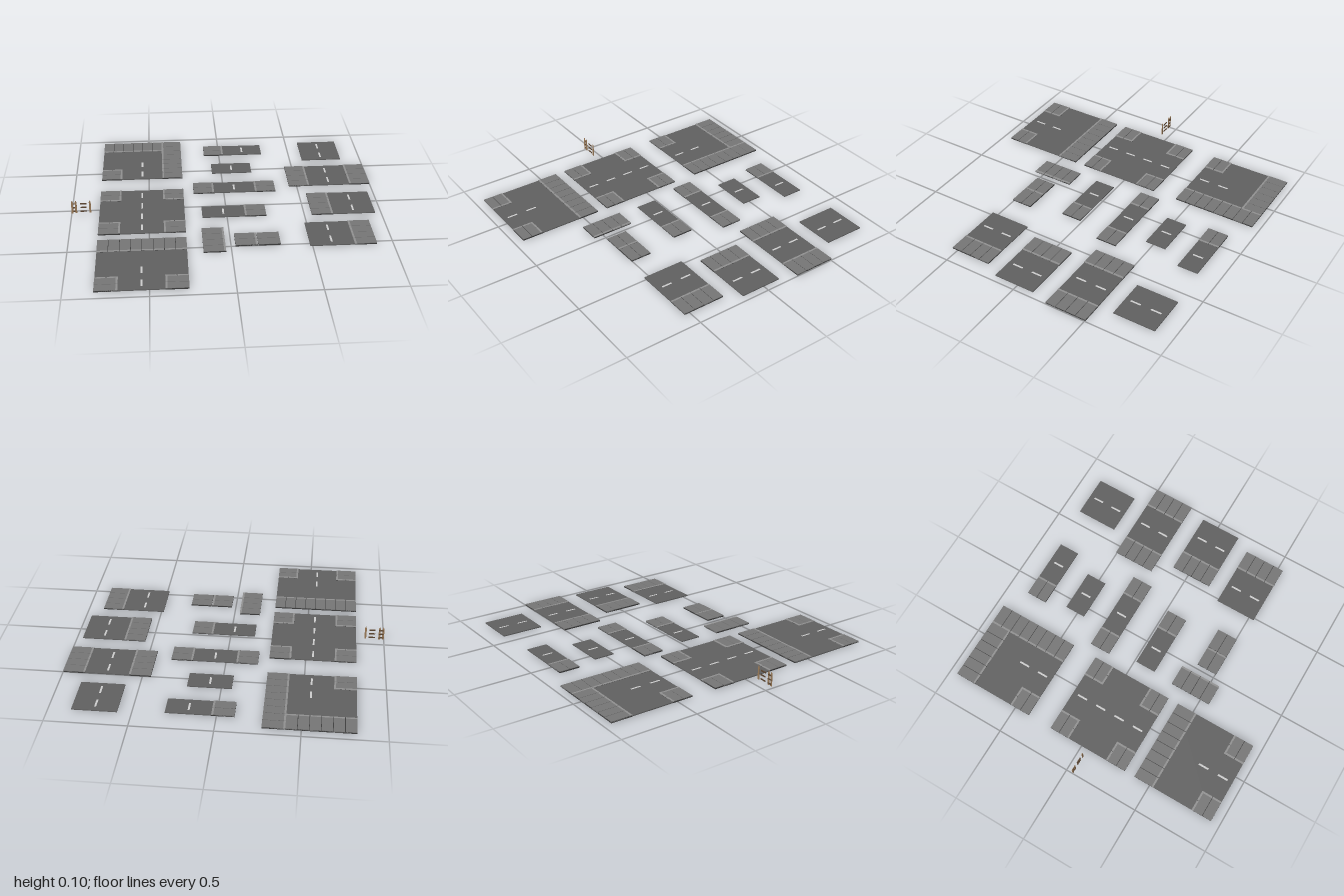
import * as THREE from 'three';

const U = 0.0688;    // one paving slab, the module of every tile
const JOINT = 0.0035; // gap between slabs
const CURB = 0.012;  // curb stone width

const mat = (color) => new THREE.MeshStandardMaterial({ color });
const mats = {
  road: mat(0x606060), joint: mat(0x3c3c3c), slab: mat(0x757575),
  curb: mat(0x909090), dash: mat(0xc4c4c4), picket: mat(0x9a7a58), rail: mat(0x5a4430),
};

// Box spanning x0..x1, y0..y1, z0..z1
function block(parent, name, material, x0, x1, y0, y1, z0, z1) {
  const mesh = new THREE.Mesh(new THREE.BoxGeometry(x1 - x0, y1 - y0, z1 - z0), mats[material]);
  mesh.position.set((x0 + x1) / 2, (y0 + y1) / 2, (z0 + z1) / 2);
  mesh.name = name;
  parent.add(mesh);
}

function group(parent, name, x = 0, z = 0) {
  const g = new THREE.Group();
  g.name = name;
  g.position.set(x, 0.001, z);
  parent.add(g);
  return g;
}

// Cuts lo..hi into unit lengths with joints between them
function eachUnit(lo, hi, count, place) {
  const start = (lo + hi - count * U) / 2;
  for (let i = 0; i < count; i++) {
    place(
      i === 0 ? lo : start + i * U + JOINT / 2,
      i === count - 1 ? hi : start + (i + 1) * U - JOINT / 2,
    );
  }
}

// Paved strip at (u, v), w by d slabs; curbs line the edges named left, right, back, front
function sidewalk(tile, u, v, w, d, curbs = [], acrossX = false) {
  const walk = group(tile, 'sidewalk');
  walk.position.y = 0;
  const x0 = u * U, x1 = (u + w) * U, z0 = v * U, z1 = (v + d) * U;
  const inset = (side) => (curbs.includes(side) ? CURB : 0);
  const sx0 = x0 + inset('left'), sx1 = x1 - inset('right');
  const sz0 = z0 + inset('back'), sz1 = z1 - inset('front');

  block(walk, 'sidewalkBed', 'joint', x0, x1, 0.001, 0.0088, z0, z1);
  const slab = (a, b, c, e) => block(walk, 'pavingSlab', 'slab', a, b, 0.004, 0.0112, c, e);
  if (acrossX) eachUnit(sx0, sx1, w, (a, b) => slab(a, b, sz0, sz1));
  else eachUnit(sz0, sz1, d, (a, b) => slab(sx0, sx1, a, b));

  const stone = (a, b, c, e) => block(walk, 'curbStone', 'curb', a, b, 0.004, 0.012, c, e);
  for (const side of curbs) {
    if (side === 'left') eachUnit(sz0, sz1, d, (a, b) => stone(x0, sx0, a, b));
    if (side === 'right') eachUnit(sz0, sz1, d, (a, b) => stone(sx1, x1, a, b));
    if (side === 'back') eachUnit(x0, x1, w, (a, b) => stone(a, b, z0, sz0));
    if (side === 'front') eachUnit(x0, x1, w, (a, b) => stone(a, b, sz1, z1));
  }
}

// Asphalt sheet with lane dashes every second unit
function road(tile, w, d, dashX, firstDash = 0.5) {
  const e = 0.0004;
  block(tile, 'asphalt', 'road', e, w * U - e, 0.0015, 0.008, e, d * U - e);
  for (let v = firstDash; v < d; v += 2) {
    block(tile, 'laneDash', 'dash', dashX * U - 0.006, dashX * U + 0.006, 0.006, 0.0084, v * U, (v + 1) * U);
  }
}

// Straight road centred on laneX with optional sidewalks on each side
function straight(root, name, laneX, z, d, walkBefore, walkAfter) {
  const lane = walkBefore ? 4 : 2;
  const tile = group(root, name, laneX - lane * U, z);
  road(tile, lane + (walkAfter ? 4 : 2), d, lane);
  if (walkBefore) sidewalk(tile, 0, 0, 2, d, ['right']);
  if (walkAfter) sidewalk(tile, lane + 2, 0, 2, d, ['left']);
}

// Large square junction
function junction(root, name, z, firstDash) {
  const tile = group(root, name, -0.821, z);
  road(tile, 8, 8, 4, firstDash);
  return tile;
}

// Square pavement in one corner of a junction
function cornerPad(tile, atRight, atFront) {
  sidewalk(tile, atRight ? 6 : 0, atFront ? 6 : 0, 2, 2,
    [atRight ? 'left' : 'right', atFront ? 'back' : 'front']);
}

// Pointed fence board
function picket(parent, x) {
  const w = 0.006;
  const shape = new THREE.Shape();
  shape.moveTo(-w, 0.011).lineTo(w, 0.011).lineTo(w, 0.089).lineTo(0, 0.102).lineTo(-w, 0.089);
  const mesh = new THREE.Mesh(new THREE.ExtrudeGeometry(shape, { depth: 0.004, bevelEnabled: false }), mats.picket);
  mesh.position.set(x, 0, 0.045);
  mesh.name = 'picket';
  parent.add(mesh);
}

// Three stacked fence rails
function rails(parent, x0, x1) {
  for (let i = 0; i < 3; i++) {
    const y = 0.023 + i * 0.0275;
    block(parent, 'fenceRail', 'rail', x0, x1, y - 0.004, y + 0.004, 0.044, 0.048);
  }
}

export function createModel() {
  const root = new THREE.Group();
  root.name = 'roadTileSet';

  // Large junctions
  const bend = junction(root, 'bendTile', -0.949, 4.5);
  sidewalk(bend, 0, 0, 6, 2, ['front'], true);
  sidewalk(bend, 6, 0, 2, 8, ['left']);
  cornerPad(bend, false, true);

  const crossing = junction(root, 'crossingTile', -0.231, 0.5);
  const fork = junction(root, 'forkTile', 0.39, 4.5);
  sidewalk(fork, 0, 0, 8, 2, ['front'], true);
  for (const atRight of [false, true]) {
    cornerPad(crossing, atRight, false);
    cornerPad(crossing, atRight, true);
    cornerPad(fork, atRight, true);
  }

  // Short straight roads
  straight(root, 'shortRoadLeftWalk', 0.168, -0.861, 2, true, false);
  straight(root, 'shortRoad', 0.073, -0.586, 2, false, false);
  straight(root, 'shortRoadTwoWalks', 0.072, -0.308, 2, true, true);
  straight(root, 'shortRoadRightWalk', -0.022, 0.013, 2, false, true);

  // Long straight roads
  straight(root, 'longRoad', 0.723, -0.882, 4, false, false);
  straight(root, 'longRoadTwoWalks', 0.722, -0.505, 4, true, true);
  straight(root, 'longRoadLeftWalk', 0.823, -0.115, 4, true, false);
  straight(root, 'longRoadRightWalk', 0.622, 0.26, 4, false, true);

  // Loose sidewalks, the long one lying lowest
  const longWalk = group(root, 'longWalk', -0.172, 0.287);
  longWalk.position.y = -0.001;
  sidewalk(longWalk, 0, 0, 2, 4, ['right']);
  sidewalk(group(root, 'shortWalkWithCurb', 0.027, 0.367), 0, 0, 2, 2, ['right']);
  sidewalk(group(root, 'shortWalk', 0.168, 0.367), 0, 0, 2, 2);

  // Fence pieces: joined pair, loose rails, single board
  const fence = group(root, 'fencePieces');
  for (const x of [-0.993, -0.969, -0.879]) picket(fence, x);
  rails(fence, -0.995, -0.964);
  rails(fence, -0.941, -0.901);

  return root;
}
